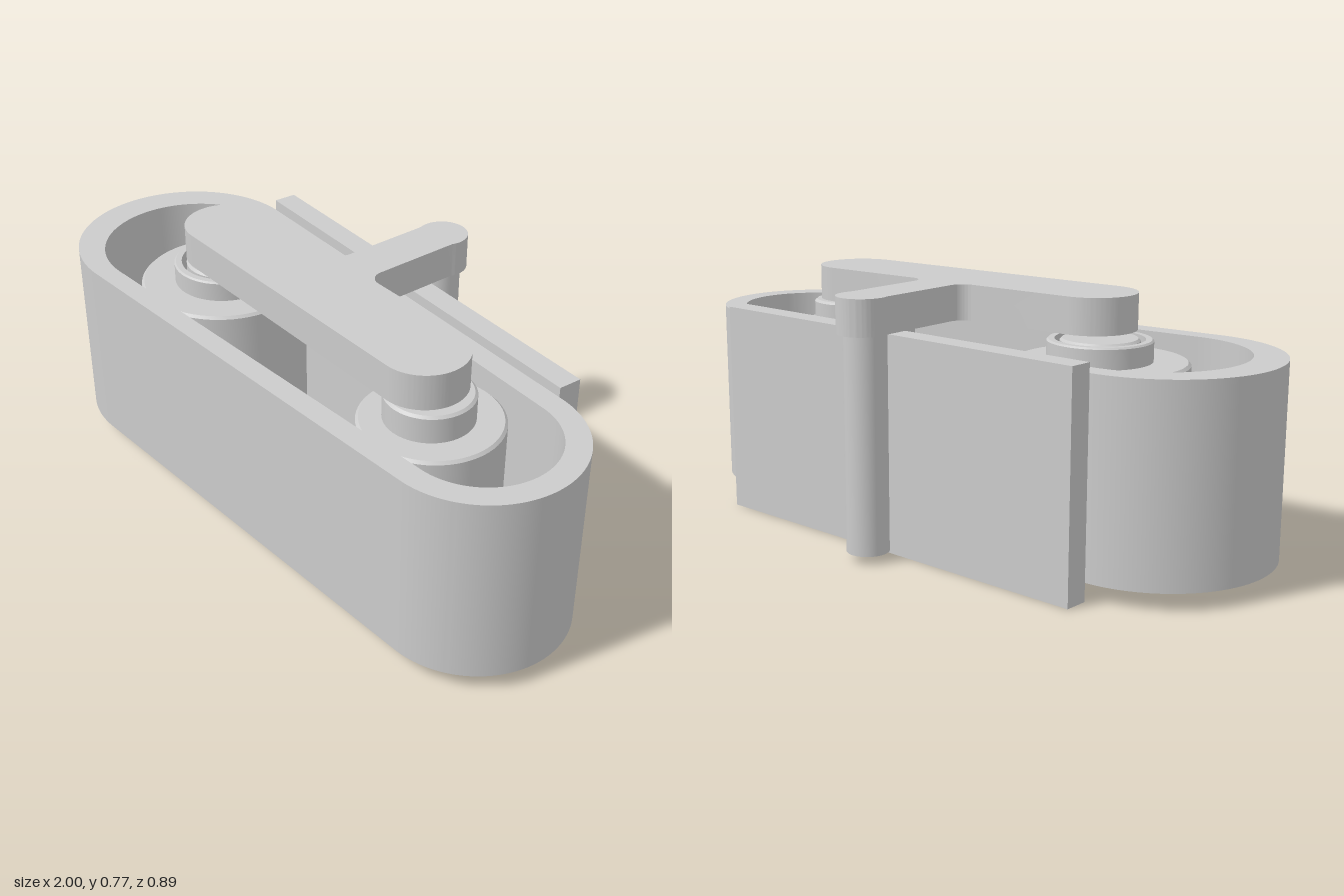
import * as THREE from 'three';
import { toCreasedNormals } from 'three/addons/utils/BufferGeometryUtils.js';

const material = new THREE.MeshStandardMaterial({ color: 0xcccccc });
const AXIS_Z = 0.1; // both rollers, the belt and the arm share this line

export function createModel() {
  const model = new THREE.Group();

  const add = (name, geometry, x = 0, y = 0, z = 0) => {
    const mesh = new THREE.Mesh(geometry, material);
    mesh.name = name;
    mesh.position.set(x, y, z);
    model.add(mesh);
  };

  // Plan outline (shape y = -z) raised from y0 to y1
  const raise = (shape, y0, y1) => {
    const g = new THREE.ExtrudeGeometry(shape, { depth: y1 - y0, bevelEnabled: false, curveSegments: 40 });
    g.rotateX(-Math.PI / 2).translate(0, y0, 0);
    return toCreasedNormals(g, 0.5);
  };

  // Outline of a band stretched round two circles
  const bandOutline = (path, x1, r1, x2, r2) => {
    const t = Math.acos((r1 - r2) / (x2 - x1));
    path.absarc(x1, -AXIS_Z, r1, t, 2 * Math.PI - t, false);
    path.absarc(x2, -AXIS_Z, r2, -t, t, false);
    path.closePath();
    return path;
  };

  // Turned part from a radius/height profile
  const turned = (profile) => toCreasedNormals(
    new THREE.LatheGeometry(profile.map(([r, y]) => new THREE.Vector2(r, y)), 64), 0.5);

  // Belt
  const belt = bandOutline(new THREE.Shape(), -0.655, 0.345, 0.715, 0.285);
  belt.holes.push(bandOutline(new THREE.Path(), -0.62, 0.28, 0.715, 0.215));
  add('belt', raise(belt, 0.052, 0.625));

  // Rollers with softened rims
  const roller = (r) => turned([[0, 0.09], [r - 0.008, 0.09], [r, 0.098], [r, 0.572], [r - 0.008, 0.58], [0, 0.58]]);
  add('largeRoller', roller(0.255), -0.455, 0, AXIS_Z);
  add('smallRoller', roller(0.205), 0.525, 0, AXIS_Z);

  // Collar and shaft on the large roller
  add('largeCollar', turned([[0.13, 0.57], [0.153, 0.57], [0.153, 0.638], [0.148, 0.643], [0.13, 0.643], [0.13, 0.57]]),
    -0.45, 0, AXIS_Z);
  add('largeShaft', turned([[0.115, 0.57], [0.115, 0.638], [0.108, 0.645], [0, 0.645]]), -0.45, 0, AXIS_Z);

  // Hub on the small roller
  add('smallHub', turned([[0.128, 0.57], [0.128, 0.655], [0.12, 0.662], [0, 0.662]]), 0.515, 0, AXIS_Z);

  // T-shaped arm with rounded ends and filleted stem
  const arm = new THREE.Shape();
  const r = 0.127, top = -AXIS_Z + r, cx = 0.03, half = 0.07, fillet = 0.045;
  arm.absarc(-0.425, -AXIS_Z, r, Math.PI / 2, Math.PI * 1.5, false);
  arm.absarc(0.485, -AXIS_Z, r, -Math.PI / 2, Math.PI / 2, false);
  arm.absarc(cx + half + fillet, top + fillet, fillet, -Math.PI / 2, -Math.PI, true);
  arm.lineTo(cx + half, 0.32);
  arm.absarc(cx, 0.374, 0.075, -0.35, Math.PI + 0.35, false);
  arm.lineTo(cx - half, 0.32);
  arm.absarc(cx - half - fillet, top + fillet, fillet, 0, -Math.PI / 2, true);
  arm.closePath();
  add('arm', raise(arm, 0.668, 0.775));

  // Long pin hanging from the stem
  add('pin', new THREE.CylinderGeometry(0.063, 0.063, 0.645, 48), cx, 0.3475, -0.364);

  // Back plate lying along the tapered side of the belt
  const plate = new THREE.Shape([[-0.655, 0.25], [0.716, 0.185], [0.72, 0.257], [-0.651, 0.322]]
    .map(([x, y]) => new THREE.Vector2(x, y)));
  add('backPlate', raise(plate, 0, 0.655));

  return model;
}
